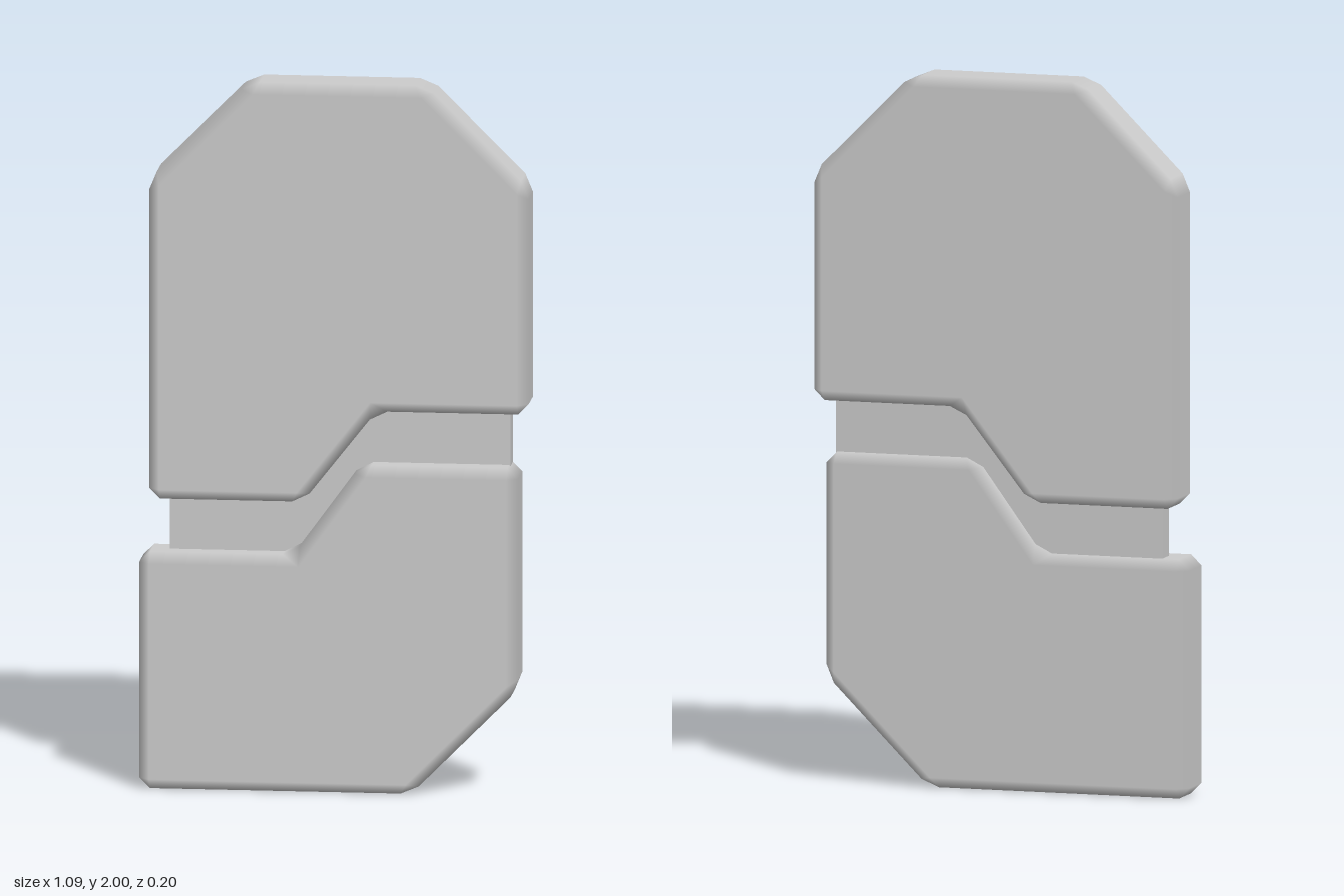
import * as THREE from 'three';

const BEVEL = 0.03;

// Chamfered slab from a counter-clockwise outline, with smooth normals across the bevels
function slabGeometry(outline, zBack, zFront) {
  const pts = outline.map(([x, y]) => new THREE.Vector2(x, y));
  const n = pts.length;
  const corners = pts.map((p, i) => {
    const dIn = p.clone().sub(pts[(i + n - 1) % n]).normalize();
    const dOut = pts[(i + 1) % n].clone().sub(p).normalize();
    const nIn = new THREE.Vector2(dIn.y, -dIn.x);
    const nOut = new THREE.Vector2(dOut.y, -dOut.x);
    const cut = Math.max(BEVEL * Math.tan(Math.acos(dIn.dot(dOut)) / 2), 0.03);
    const miter = nIn.clone().add(nOut).multiplyScalar(-BEVEL / (1 + nIn.dot(nOut)));
    return {
      a: p.clone().addScaledVector(dIn, -cut), // end of the incoming edge
      b: p.clone().addScaledVector(dOut, cut), // start of the outgoing edge
      cap: p.clone().add(miter),
      nIn, nOut,
    };
  });

  const position = [], normal = [], index = [];
  const add = (p, z, nx, ny, nz) => {
    position.push(p.x, p.y, z);
    normal.push(nx, ny, nz);
    return position.length / 3 - 1;
  };
  const capTriangles = THREE.ShapeUtils.triangulateShape(corners.map((c) => c.cap), []);

  // Rings of shared vertices on either side
  const rings = [[zFront, 1], [zBack, -1]].map(([z, s]) => corners.map((c) => ({
    cap: add(c.cap, z, 0, 0, s),
    a: add(c.a, z - s * BEVEL, c.nIn.x, c.nIn.y, 0),
    b: add(c.b, z - s * BEVEL, c.nOut.x, c.nOut.y, 0),
  })));

  // Caps, bevel strips and corner triangles; the back uses reversed winding
  rings.forEach((ring, side) => {
    const tri = (i, j, k) => (side ? index.push(i, k, j) : index.push(i, j, k));
    capTriangles.forEach(([i, j, k]) => tri(ring[i].cap, ring[j].cap, ring[k].cap));
    ring.forEach((c, i) => {
      const d = ring[(i + 1) % n];
      tri(c.a, c.b, c.cap);
      tri(c.b, d.a, d.cap);
      tri(c.b, d.cap, c.cap);
    });
  });

  // Side walls and cut corners
  const [front, back] = rings;
  const wall = (b0, b1, f1, f0) => index.push(b0, b1, f1, b0, f1, f0);
  for (let i = 0; i < n; i++) {
    const j = (i + 1) % n;
    wall(back[i].a, back[i].b, front[i].b, front[i].a);
    wall(back[i].b, back[j].a, front[j].a, front[i].b);
  }

  const geometry = new THREE.BufferGeometry();
  geometry.setAttribute('position', new THREE.Float32BufferAttribute(position, 3));
  geometry.setAttribute('normal', new THREE.Float32BufferAttribute(normal, 3));
  geometry.setIndex(index);
  return geometry;
}

export function createModel() {
  const group = new THREE.Group();
  group.name = 'splitPlate';
  const grey = new THREE.MeshStandardMaterial({ color: 0xcccccc });
  grey.name = 'light grey';

  const addPart = (name, geometry) => {
    const mesh = new THREE.Mesh(geometry, grey);
    mesh.name = name;
    group.add(mesh);
    return mesh;
  };

  // Upper plate with two cut shoulders and a stepped lower edge
  addPart('upperPlate', slabGeometry([
    [-0.52, 0.815], [-0.09, 0.815], [0.115, 1.075], [0.54, 1.075],
    [0.54, 1.715], [0.255, 2], [-0.24, 2], [-0.52, 1.72],
  ], -0.098, 0.071));

  // Lower plate with one cut corner and a matching stepped top
  addPart('lowerPlate', slabGeometry([
    [-0.545, 0], [0.215, 0], [0.513, 0.3], [0.513, 0.928],
    [0.075, 0.928], [-0.113, 0.67], [-0.545, 0.67],
  ], -0.071, 0.098));

  // Thin core joining the plates across the gap
  const core = addPart('core', new THREE.BoxGeometry(0.952, 1.2, 0.06));
  core.position.set(0.011, 1, -0.008);

  return group;
}
